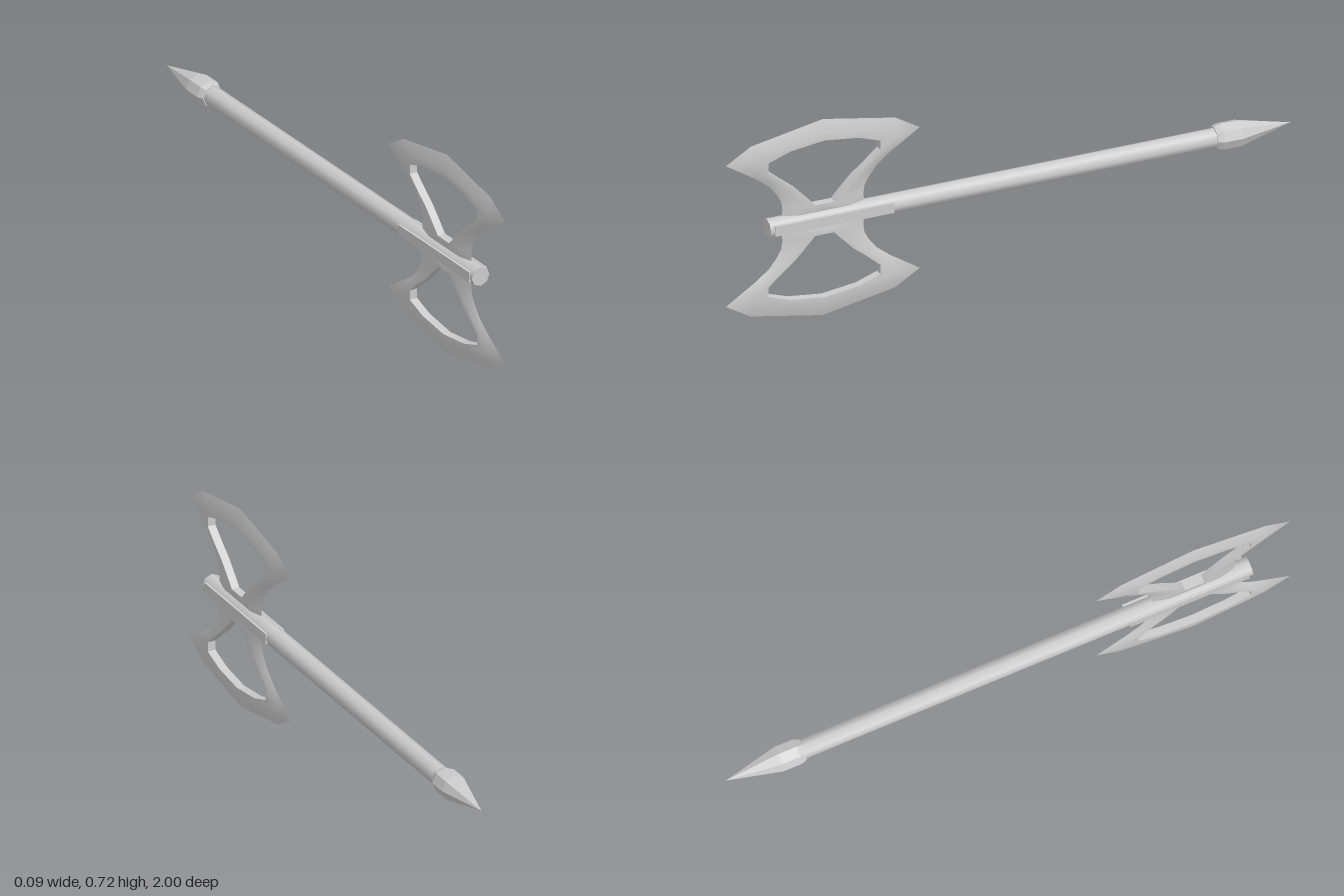
import * as THREE from 'three';
import { toCreasedNormals } from 'three/addons/utils/BufferGeometryUtils.js';

const AXIS_Y = 0.36;   // height of the handle axis
const HEAD_Z = 0.657;  // centre of the axe head along the handle
const HALF = 0.014;    // half thickness of the blades

// Half of one blade: [outer z, outer y, hole z, hole y], from the crown round to the root
const PROFILE = [
  [0, 0.358, 0, 0.286],
  [0.255, 0.31, 0.12, 0.271],
  [0.343, 0.257, 0.198, 0.244],
  [0.235, 0.186, 0.198, 0.21],
  [0.19, 0.15, 0.15, 0.168],
  [0.163, 0.115, 0.103, 0.13],
  [0.147, 0.085, 0.06, 0.085],
  [0.143, 0.055, 0.037, 0.06],
  [0.15, 0, 0.034, 0.056],
  [0, 0, 0, 0.056],
];

// Pierced blade: sharp outer rim, bevel, flat cheek and straight hole wall
function bladeGeometry() {
  const mirrored = PROFILE.slice(1, -1).reverse().map(([a, b, c, d]) => [-a, b, -c, d]);
  const loop = [...PROFILE, ...mirrored];
  const pos = [], index = [], S = 5;
  for (const [oz, oy, hz, hy] of loop) {
    const mz = oz + (hz - oz) * 0.65, my = oy + (hy - oy) * 0.65;
    pos.push(0, oy, oz, HALF, my, mz, HALF, hy, hz, -HALF, hy, hz, -HALF, my, mz);
  }
  loop.forEach((_, i) => {
    const n = (i + 1) % loop.length;
    for (let j = 0; j < S; j++) {
      const k = (j + 1) % S;
      const a = i * S + j, b = i * S + k, c = n * S + k, d = n * S + j;
      index.push(a, d, b, d, c, b);
    }
  });
  const g = new THREE.BufferGeometry();
  g.setAttribute('position', new THREE.Float32BufferAttribute(pos, 3));
  g.setIndex(index);
  return toCreasedNormals(g, 0.65);
}

export function createModel() {
  const group = new THREE.Group();
  const smooth = new THREE.MeshStandardMaterial({ color: 0xcccccc });
  const flat = new THREE.MeshStandardMaterial({ color: 0xcccccc, flatShading: true });
  const add = (name, geometry, material, z) => {
    const m = new THREE.Mesh(geometry, material);
    m.name = name;
    m.position.set(0, AXIS_Y, z);
    group.add(m);
    return m;
  };

  // Octagonal handle lying along z
  const length = 1.59;
  add('handle', new THREE.CylinderGeometry(0.034, 0.034, length, 8).rotateX(Math.PI / 2), smooth, 0.855 - length / 2);

  // Pointed pommel with a short collar
  const spike = [[0, 0], [0.038, 0], [0.046, 0.02], [0.046, 0.085], [0, 0.27]].map(p => new THREE.Vector2(...p));
  add('pommelSpike', new THREE.LatheGeometry(spike, 8).rotateX(-Math.PI / 2), flat, -0.725);

  // Two opposite blades
  const blade = bladeGeometry();
  add('upperBlade', blade, smooth, HEAD_Z);
  add('lowerBlade', blade, smooth, HEAD_Z).rotation.z = Math.PI;

  // Slim straps along both sides of the handle at the head
  for (const side of [1, -1]) {
    const strap = add('strap', new THREE.BoxGeometry(0.008, 0.036, 0.42), flat, 0.63);
    strap.position.x = side * 0.031;
  }
  return group;
}
